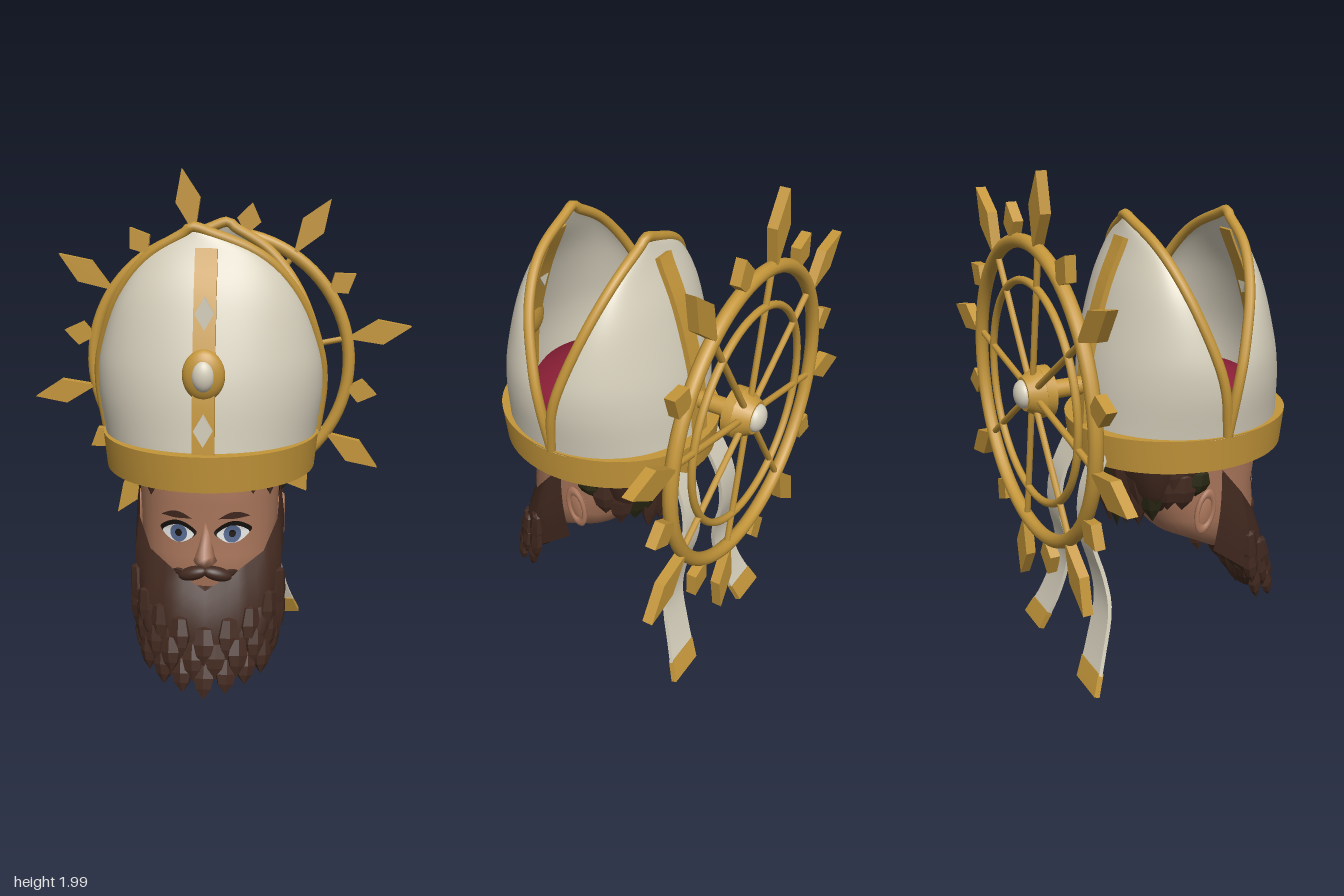
import * as THREE from 'three';
import { toCreasedNormals } from 'three/addons/utils/BufferGeometryUtils.js';

const V = (x, y, z) => new THREE.Vector3(x, y, z);
const paint = (name, color) => {
  const m = new THREE.MeshStandardMaterial({ color, side: THREE.DoubleSide });
  m.name = name;
  return m;
};
// piecewise-linear lookup in rows of [key, a, b, ...]
const sample = (rows, k) => {
  let i = 0;
  while (i < rows.length - 2 && k > rows[i + 1][0]) i++;
  const t = THREE.MathUtils.clamp((k - rows[i][0]) / (rows[i + 1][0] - rows[i][0]), 0, 1);
  return rows[i].map((a, j) => a + (rows[i + 1][j] - a) * t);
};
// surface through rows of points, optionally closed round and capped
const loft = (rows, closed = false, capped = false) => {
  const n = rows[0].length, idx = [], pos = rows.flat().flatMap(p => [p.x, p.y, p.z]);
  for (let i = 0; i < rows.length - 1; i++)
    for (let j = 0; j < (closed ? n : n - 1); j++) {
      const a = i * n + j, b = i * n + (j + 1) % n;
      idx.push(a, b, a + n, b, b + n, a + n);
    }
  if (capped) for (let j = 1; j < n - 1; j++) {
    const o = (rows.length - 1) * n;
    idx.push(0, j + 1, j, o, o + j, o + j + 1);
  }
  const g = new THREE.BufferGeometry();
  g.setAttribute('position', new THREE.Float32BufferAttribute(pos, 3));
  g.setIndex(idx);
  g.computeVertexNormals();
  return g;
};
// flat strap through rows of [x, y, z, halfWidth]
const strap = (pts, thick) => toCreasedNormals(loft(pts.map(([x, y, z, w], i) => {
  const a = pts[Math.max(i - 1, 0)], b = pts[Math.min(i + 1, pts.length - 1)];
  const n = V(0, -(b[2] - a[2]), b[1] - a[1]).normalize().multiplyScalar(thick / 2);
  return [[-w, 1], [w, 1], [w, -1], [-w, -1]].map(([dx, s]) => V(x + dx, y + n.y * s, z + n.z * s));
}), true, true), 0.7);
// oval rings from rows of [y, backZ, frontZ, halfWidth]
const oval = (rows, pw) => loft(rows.map(([y, zb, zf, rx]) => Array.from({ length: 32 }, (_, i) => {
  const t = i / 32 * Math.PI * 2, f = v => Math.sign(v) * Math.abs(v) ** pw;
  return V(rx * f(Math.sin(t)), y, (zb + zf) / 2 + (zf - zb) / 2 * f(Math.cos(t)));
})), true, true);

const HEAD = [[0.38, 0.24, 0.40, 0.10], [0.44, 0.15, 0.42, 0.19], [0.52, 0.0, 0.435, 0.24], [0.6, -0.06, 0.44, 0.26],
  [0.7, -0.1, 0.43, 0.265], [0.8, -0.13, 0.445, 0.27], [0.9, -0.15, 0.44, 0.275], [1.0, -0.15, 0.43, 0.29]];
const faceZ = (x, y) => {
  const [, zb, zf, rx] = sample(HEAD, y);
  return (zb + zf) / 2 + (zf - zb) / 2 * Math.max(0, 1 - Math.abs(x / rx) ** (2 / 0.85)) ** 0.425;
};

export function createModel() {
  const root = new THREE.Group();
  const gold = paint('gold', 0xc4963a), cream = paint('cream', 0xd6cfbc), red = paint('crimson', 0x8e2038),
    skin = paint('skin', 0xab775c), brown = paint('brown hair', 0x432a20), olive = paint('dark olive hair', 0x2a2813),
    white = paint('eye white', 0xe4e4e2), blue = paint('iris blue', 0x56688f), black = paint('black', 0x16110e);
  const add = (parent, name, geo, mat, x = 0, y = 0, z = 0) => {
    const m = new THREE.Mesh(geo, mat);
    m.name = name;
    m.position.set(x, y, z);
    parent.add(m);
    return m;
  };
  const group = (name, x = 0, y = 0, z = 0) => {
    const g = new THREE.Group();
    g.name = name;
    g.position.set(x, y, z);
    root.add(g);
    return g;
  };
  const lathe = (pts, seg = 48) => new THREE.LatheGeometry(pts.map(p => new THREE.Vector2(...p)), seg);
  const ball = (x, y, z) => new THREE.SphereGeometry(1, 24, 16).scale(x, y, z);
  const rodZ = (r1, r2, len, seg = 24) => new THREE.CylinderGeometry(r1, r2, len, seg).rotateX(Math.PI / 2);

  // head band and lining
  const band = add(root, 'headBand', toCreasedNormals(lathe(
    [[0.415, 0.885], [0.44, 0.885], [0.455, 1.02], [0.395, 1.02], [0.415, 0.885]], 64), 0.6), gold, 0, 0, 0.115);
  band.scale.x = 0.92;
  add(root, 'innerLedge', new THREE.RingGeometry(0.32, 0.42, 48).rotateX(-Math.PI / 2), cream, 0, 1.015, 0.115);
  add(root, 'redCap', lathe([[0.395, 0.9], [0.36, 0.98], [0.34, 1.08], [0.29, 1.155], [0.15, 1.2], [0, 1.21]]), red, 0, 0, 0.115);

  // two mitre shells, the back one mirrored
  const curve = pts => new THREE.CatmullRomCurve3(pts, false, 'catmullrom', 0.5);
  const rows = [[1.02, 0.41, 0.115, 0.52], [1.2, 0.43, 0.14, 0.505], [1.35, 0.41, 0.18, 0.475],
    [1.55, 0.33, 0.245, 0.415], [1.7, 0.2, 0.29, 0.35], [1.8, 0, 0.31, 0.315]];
  const edge = curve(rows.map(r => V(r[1], r[0], r[2]))), ridge = curve(rows.map(r => V(0, r[0], r[3])));
  const lean = t => -0.05 * t ** 8;
  const ridgeZ = y => sample(rows, y)[3];
  for (const side of ['front', 'back']) {
    const g = group(side + 'Mitre');
    if (side === 'back') {
      g.scale.set(-1, 1, -1);
      g.position.z = 0.23;
    }
    add(g, side + 'Shell', loft(Array.from({ length: 31 }, (_, i) => {
      const e = edge.getPoint(i / 30), f = ridge.getPoint(i / 30);
      return Array.from({ length: 33 }, (_, j) => {
        const a = (j / 16 - 1) * Math.PI / 2;
        return V(e.x * Math.sin(a) + lean(i / 30), e.y, e.z + (f.z - e.z) * Math.cos(a));
      });
    })), cream);
    const rim = [];
    for (let i = -20; i <= 20; i++) {
      const t = 1 - Math.abs(i) / 20, p = edge.getPoint(t);
      rim.push(V(Math.sign(i) * p.x + lean(t), p.y, p.z));
    }
    add(g, side + 'Rim', new THREE.TubeGeometry(curve(rim), 100, 0.02, 10), gold);
    add(g, side + 'Stripe', strap(Array.from({ length: 15 }, (_, i) => {
      const p = ridge.getPoint(i / 14 * 0.84);
      return [0, p.y, p.z + 0.006, 0.04];
    }), 0.03), gold);
  }

  // front ornaments
  for (const y of [1.11, 1.51])
    add(root, 'diamondGem', toCreasedNormals(rodZ(1, 1, 0.05, 4), 0.3), cream, 0, y, ridgeZ(y) + 0.02).scale.set(0.034, 0.058, 1);
  add(root, 'medallion', ball(0.076, 0.092, 0.04), gold, 0, 1.3, 0.505);
  add(root, 'medallionGem', ball(0.042, 0.058, 0.035), cream, 0, 1.3, 0.525);

  // wheel behind the hat
  const wheel = group('sunWheel', 0, 1.165, -0.5);
  add(wheel, 'outerRing', new THREE.TorusGeometry(0.57, 0.027, 12, 80), gold);
  add(wheel, 'innerRing', new THREE.TorusGeometry(0.425, 0.015, 10, 64), gold);
  add(wheel, 'hub', toCreasedNormals(rodZ(0.1, 0.1, 0.04), 0.6), gold, 0, 0, 0.045);
  add(wheel, 'hubCone', rodZ(0.1, 0.065, 0.065), gold, 0, 0, -0.005);
  add(wheel, 'hubButton', ball(0.055, 0.055, 0.035), cream, 0, 0, -0.037);
  add(wheel, 'wheelArm', rodZ(0.036, 0.036, 0.2), gold, 0, 0, 0.14);
  const kite = (base, mid, tip, w) => new THREE.ExtrudeGeometry(new THREE.Shape(
    [[base, 0], [mid, -w], [tip, 0], [mid, w]].map(p => new THREE.Vector2(...p))), { depth: 0.04, bevelEnabled: false }).translate(0, 0, -0.02);
  for (let i = 0; i < 16; i++) {
    const a = (i + 0.5) * Math.PI / 8, big = i % 2 === 0;
    add(wheel, big ? 'longRay' : 'shortRay', big ? kite(0.57, 0.72, 0.855, 0.055) : kite(0.57, 0.635, 0.71, 0.053), gold).rotation.z = a;
    if (big) add(wheel, 'spoke', new THREE.CylinderGeometry(0.013, 0.013, 0.56, 8).rotateZ(Math.PI / 2).translate(0.28, 0, 0), gold).rotation.z = a;
  }

  // hanging ribbons with gold ends
  const tail = curve([V(0.12, 0.93, -0.28), V(0.14, 0.76, -0.35), V(0.16, 0.6, -0.36), V(0.18, 0.45, -0.325),
    V(0.21, 0.32, -0.32), V(0.24, 0.16, -0.365), V(0.285, 0.015, -0.425)]);
  const tailPart = (a, b, thick) => strap(Array.from({ length: 21 }, (_, i) => {
    const t = a + (b - a) * i / 20, p = tail.getPoint(t);
    return [p.x, p.y, p.z, 0.06 + 0.025 * t ** 3];
  }), thick);
  for (const s of [1, -1]) {
    add(root, 'ribbon', tailPart(0, 0.92, 0.016), cream).scale.x = s;
    add(root, 'ribbonEnd', tailPart(0.91, 1, 0.024), gold).scale.x = s;
  }

  // head, nose and ears
  add(root, 'head', oval(HEAD, 0.85), skin);
  add(root, 'nose', loft([[0.73, 0.018, 0.438], [0.66, 0.026, 0.462], [0.61, 0.036, 0.492], [0.585, 0.045, 0.496], [0.56, 0.036, 0.455]]
    .map(([y, w, z]) => [V(-w * 1.2, y, 0.41), V(-w * 0.7, y, z - 0.025), V(0, y, z), V(w * 0.7, y, z - 0.025), V(w * 1.2, y, 0.41)]), true, true), skin);
  for (const s of [1, -1]) {
    const ear = group('ear', s * 0.272, 0.66, 0.1);
    ear.rotation.x = 0.2;
    add(ear, 'earLobe', ball(0.018, 0.08, 0.04), skin);
    add(ear, 'earRim', new THREE.TorusGeometry(0.036, 0.01, 8, 24).rotateY(Math.PI / 2).scale(1, 2.1, 1), skin, s * 0.012);
  }

  // eyes and brows laid on the face; shape gives [halfWidth, halfHeight, pointiness, slant]
  const decal = (name, mat, cx, cy, [w, h, point, slant], lift) => {
    const g = new THREE.RingGeometry(0.001, 1, 28, 4), p = g.attributes.position;
    for (let i = 0; i < p.count; i++) {
      const u = p.getX(i), v = p.getY(i), x = cx + u * w;
      const y = cy + v * h * (1 - point * u * u) + slant * u * Math.sign(cx) - 0.012 * u * u * (point > 0.8 ? 1 : 0);
      p.setXYZ(i, x, y, faceZ(x, y) + lift);
    }
    g.computeVertexNormals();
    add(root, name, g, mat);
  };
  for (const s of [1, -1]) {
    decal('eyeLash', black, s * 0.102, 0.697, [0.07, 0.042, 0.45, 0.004], 0.003);
    decal('eyeWhite', white, s * 0.102, 0.688, [0.06, 0.034, 0.45, 0.002], 0.006);
    decal('iris', blue, s * 0.1, 0.69, [0.032, 0.034, 0, 0], 0.009);
    decal('pupil', black, s * 0.1, 0.692, [0.013, 0.014, 0, 0], 0.012);
    decal('eyeBrow', brown, s * 0.108, 0.763, [0.06, 0.014, 0.9, 0.002], 0.006);
  }

  // tapered, faceted lock of hair running from one point to another
  const lock = (name, from, to, width, facing, mat) => {
    const d = to.clone().sub(from), len = d.length();
    const g = lathe([[0, 0], [width * 0.7, -0.06 * len], [width, -0.45 * len], [width * 0.75, -0.72 * len], [0, -len]], 6).scale(1, 1, 0.55).rotateY(facing);
    add(root, name, toCreasedNormals(g, 0.2), mat, from.x, from.y, from.z).quaternion.setFromUnitVectors(V(0, -1, 0), d.normalize());
  };
  const jitter = i => { const r = Math.sin(i * 12.9898 + 4.1) * 43758.5453; return r - Math.floor(r) - 0.5; };

  // beard: wrapped shell, solid core and tiers of locks
  const upper = [[0, 0, 0.47, 0.455], [0.25, 0.12, 0.545, 0.43], [0.5, 0.215, 0.6, 0.36], [0.75, 0.265, 0.7, 0.28], [1, 0.275, 0.82, 0.18]];
  const lower = [[0, 0, 0.2, 0.515], [0.25, 0.12, 0.21, 0.505], [0.5, 0.21, 0.25, 0.45], [0.75, 0.265, 0.33, 0.33], [1, 0.27, 0.47, 0.15]];
  const beardAt = (s, v) => {
    const a = sample(upper, Math.abs(s)), b = sample(lower, Math.abs(s)), k = 1 + 0.07 * Math.sin(v * Math.PI);
    const m = j => a[j] + (b[j] - a[j]) * v;
    return V(Math.sign(s) * m(1) * k, m(2), m(3) + 0.02 * Math.sin(v * Math.PI) * (1 - Math.abs(s)));
  };
  add(root, 'beardShell', toCreasedNormals(loft(Array.from({ length: 7 }, (_, i) =>
    Array.from({ length: 25 }, (_, j) => beardAt(j / 12 - 1, i / 6)))), 0.5), brown);
  add(root, 'beardCore', oval([[0.14, 0.43, 0.51, 0.09], [0.22, 0.4, 0.51, 0.18], [0.32, 0.34, 0.5, 0.24],
    [0.4, 0.25, 0.47, 0.255], [0.48, 0.16, 0.43, 0.255]], 0.85), brown);
  for (const [tier, [n, v, reach, base]] of [[9, 0.45, 0.72, 0.2], [10, 0.7, 0.74, 0.14], [9, 0.92, 0.68, 0.075]].entries())
    for (let i = 0; i < n; i++) {
      const s = (i / (n - 1) * 2 - 1) * reach, p = beardAt(s, v);
      const tipY = base + 0.17 * Math.abs(s) ** 1.5 + 0.04 * Math.abs(jitter(i + tier * 20));
      lock('beardLock', p, V(p.x * 0.97, tipY, p.z + 0.02 + 0.02 * (1 - Math.abs(s))), 0.043, s * 1.5, brown);
    }
  for (let i = -2; i <= 2; i++) lock('beardUnderLock', V(i * 0.08, 0.34, 0.38), V(i * 0.075, 0.12 + 0.025 * Math.abs(i), 0.44), 0.05, 0, brown);

  // moustache
  for (const s of [1, -1]) {
    add(root, 'moustache', ball(0.058, 0.026, 0.03), brown, s * 0.045, 0.54, 0.452).rotation.set(0, s * 0.25, -s * 0.3);
    lock('moustacheTip', V(s * 0.06, 0.53, 0.45), V(s * 0.125, 0.545, 0.425), 0.02, 0, brown);
  }

  // hair round the back and at the forehead
  add(root, 'hairCap', oval([[0.66, -0.13, 0.0, 0.2], [0.76, -0.18, 0.02, 0.265], [0.9, -0.23, 0.06, 0.3], [0.97, -0.23, 0.1, 0.3]], 0.85), brown);
  for (let tier = 0; tier < 2; tier++)
    for (let i = 0; i < 13; i++) {
      const a = Math.PI * (0.5 + (i + tier * 0.5) / 12.5), c = Math.cos(a), x = Math.sin(a);
      const from = V(x * 0.29, 0.93 - tier * 0.09, 0.07 + c * (0.31 - tier * 0.04));
      const tipY = 0.8 + 0.21 * c - tier * 0.05 + 0.07 * jitter(i + tier * 31);
      lock('hairLock', from, V(x * 0.27, tipY, 0.06 + c * (0.24 - tier * 0.02)), 0.055, a, (i + tier) % 3 === 1 ? olive : brown);
    }
  for (const [x, y] of [[-0.2, 0.82], [-0.15, 0.85], [-0.03, 0.855], [0.04, 0.86], [0.17, 0.84], [0.23, 0.82]])
    lock('foreheadLock', V(x, 0.95, faceZ(x, 0.9)), V(x * 1.03, y, faceZ(x, 0.85) + 0.012), 0.03, x * 3, brown);
  return root;
}
